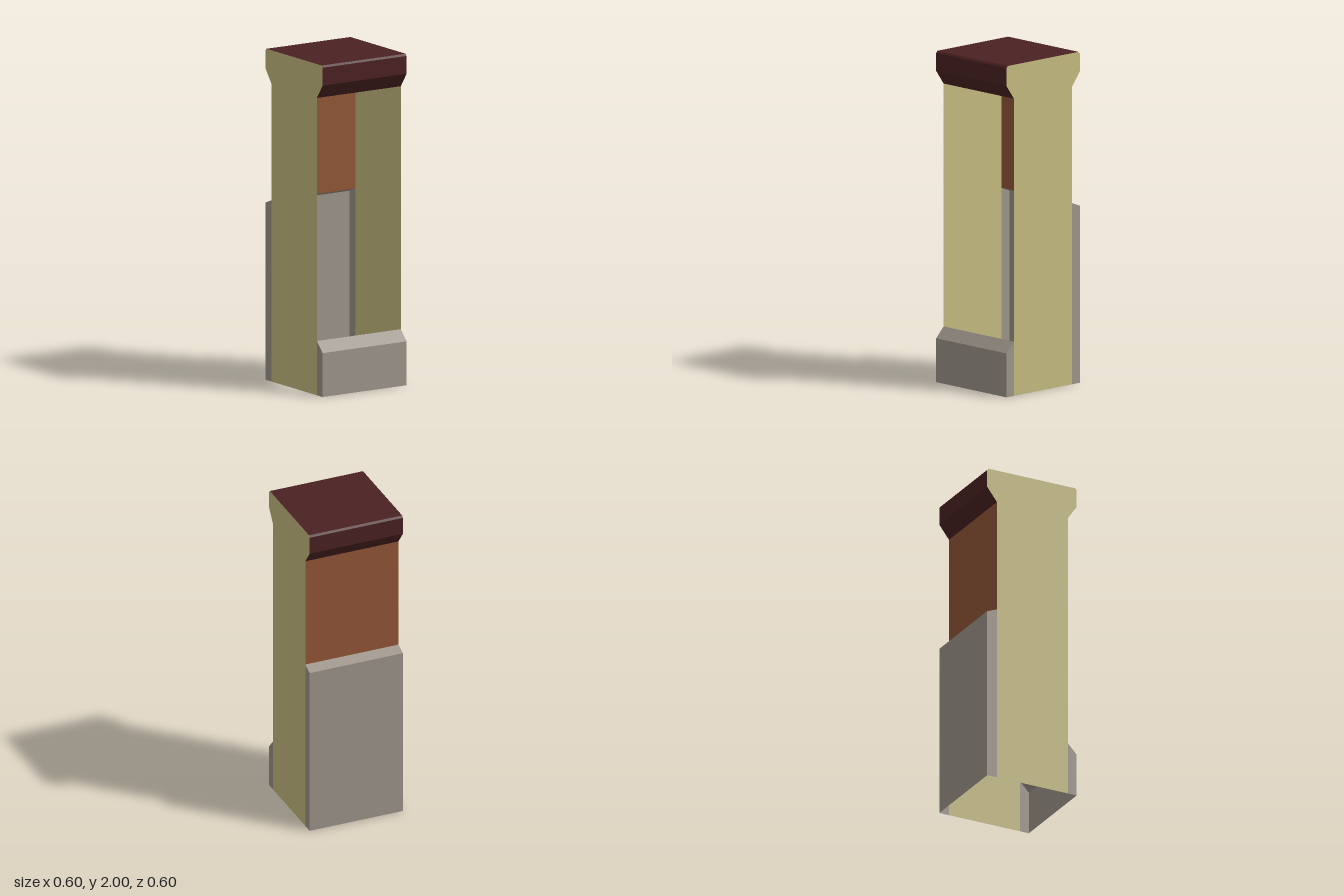
import * as THREE from 'three';

const HALF = 0.3; // half width in x

function material(name, color) {
  return new THREE.MeshStandardMaterial({ name, color, side: THREE.DoubleSide });
}

// Sheet spanning the full width, following a [z, y] profile with hard folds
function strip(profile) {
  const pos = [];
  for (let i = 0; i < profile.length - 1; i++) {
    const [z0, y0] = profile[i], [z1, y1] = profile[i + 1];
    pos.push(-HALF, y0, z0, HALF, y0, z0, HALF, y1, z1);
    pos.push(-HALF, y0, z0, HALF, y1, z1, -HALF, y1, z1);
  }
  const geo = new THREE.BufferGeometry();
  geo.setAttribute('position', new THREE.Float32BufferAttribute(pos, 3));
  geo.computeVertexNormals();
  return geo;
}

// Flat panel in the z-y plane from a [z, y] outline
function panel(outline) {
  const shape = new THREE.Shape(outline.map(([z, y]) => new THREE.Vector2(z, y)));
  return new THREE.ShapeGeometry(shape).rotateY(-Math.PI / 2);
}

export function createModel() {
  const group = new THREE.Group();
  const stone = material('grey stone', 0x9e958b);
  const brick = material('brown brick', 0x925637);
  const plaster = material('pale yellow side', 0xc6bb81);
  const coping = material('dark red coping', 0x4b2122);

  const add = (name, geo, mat, x = 0) => {
    const mesh = new THREE.Mesh(geo, mat);
    mesh.name = name;
    mesh.position.x = x;
    group.add(mesh);
  };

  const F = 0.24, B = -0.235; // front and back wall planes
  const frontPlinth = [[0.3, 0], [0.3, 0.265], [F, 0.328]];
  const backPlinth = [[B, 1.095], [-0.3, 1.07], [-0.3, 0]];
  const cap = [[F, 1.795], [0.3, 1.88], [0.3, 1.988], [0.29, 2],
    [-0.29, 2], [-0.3, 1.988], [-0.3, 1.88], [B, 1.795]];

  // Open shell: low front plinth, tall back plinth, back wall and cap
  add('frontPlinth', strip(frontPlinth), stone);
  add('backPlinth', strip(backPlinth), stone);
  add('backWall', strip([[B, 1.795], [B, 1.095]]), brick);
  add('cap', strip(cap), coping);

  // Mirrored end panels with the plinth ends in stone
  for (const [side, x] of [['left', HALF], ['right', -HALF]]) {
    add(side + 'Side', panel([[F, 0], ...cap, [B, 0]]), plaster, x);
    add(side + 'FrontPlinthEnd', panel([[F, 0], ...frontPlinth]), stone, x);
    add(side + 'BackPlinthEnd', panel([...backPlinth, [B, 0]]), stone, x);
  }
  return group;
}
